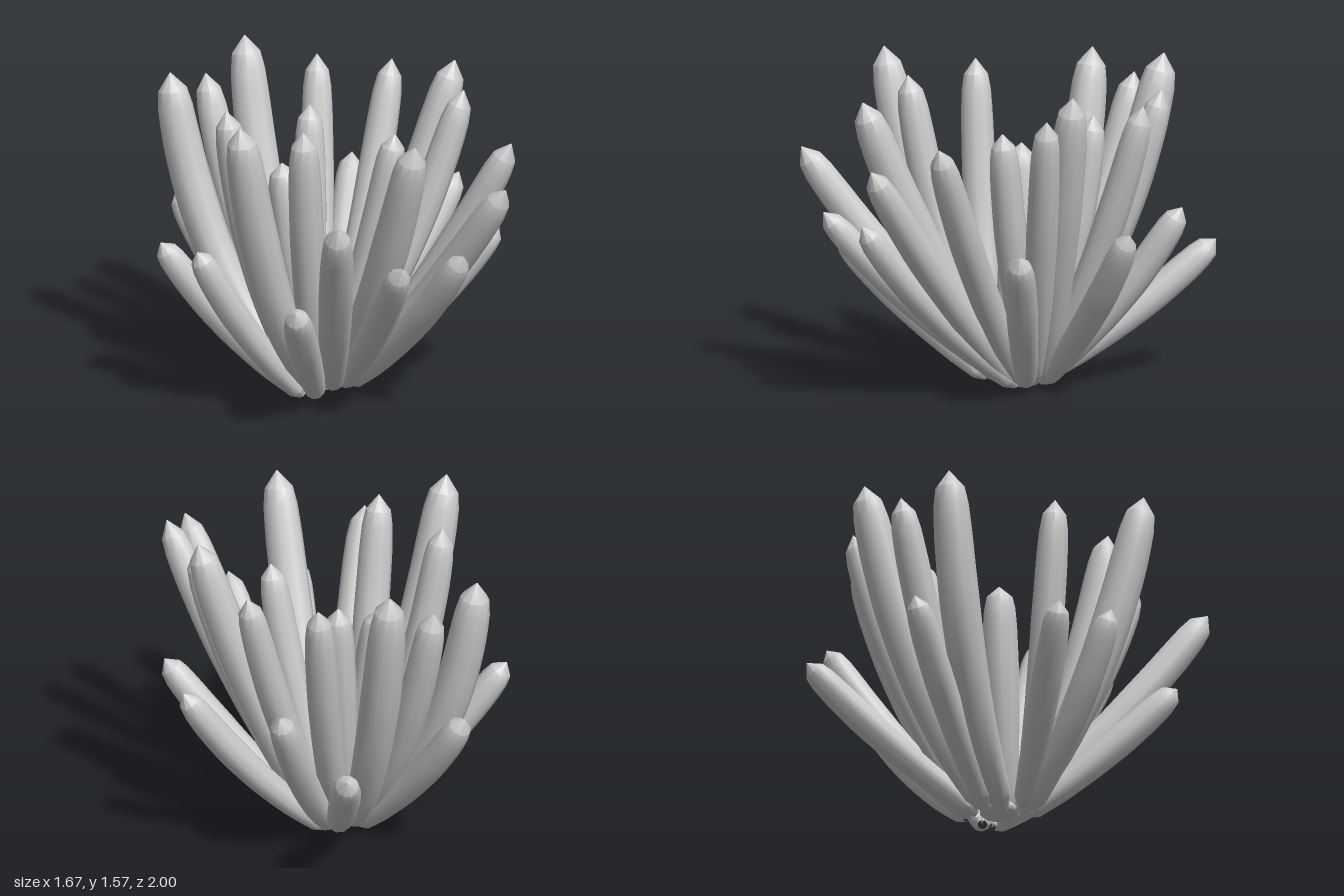
import * as THREE from 'three';
import { toCreasedNormals } from 'three/addons/utils/BufferGeometryUtils.js';

const SEGMENTS = 20, SIDES = 10;

// Fleshy leaf thickness along its length, as a fraction of its radius
const PROFILE = [[0, 0.3], [0.05, 0.66], [0.2, 0.82], [0.4, 0.93], [0.62, 1], [0.82, 0.95], [0.9, 0.87], [0.95, 0.72], [1, 0.02]];

function thickness(t) {
  const i = Math.max(1, PROFILE.findIndex(p => p[0] >= t - 1e-6));
  const [t0, r0] = PROFILE[i - 1], [t1, r1] = PROFILE[i];
  return THREE.MathUtils.lerp(r0, r1, (t - t0) / (t1 - t0));
}

// Tapered tube that leans outward, then bends upward to a pointed tip
function leafGeometry(x, y, z, radius, bend, baseX, baseZ) {
  const base = new THREE.Vector3(baseX, 0.03, baseZ);
  const tip = new THREE.Vector3(x, y, z);
  const control = base.clone().lerp(tip, 0.5);
  control.x += (tip.x - base.x) * bend;
  control.z += (tip.z - base.z) * bend;
  control.y -= (tip.y - base.y) * bend;
  const curve = new THREE.QuadraticBezierCurve3(base, control, tip);
  const geometry = new THREE.TubeGeometry(curve, SEGMENTS, radius, SIDES);
  const position = geometry.attributes.position;
  const v = new THREE.Vector3();
  for (let i = 0; i <= SEGMENTS; i++) {
    const center = curve.getPointAt(i / SEGMENTS);
    const scale = thickness(i / SEGMENTS);
    for (let j = 0; j <= SIDES; j++) {
      const k = i * (SIDES + 1) + j;
      v.fromBufferAttribute(position, k).sub(center).multiplyScalar(scale).add(center);
      position.setXYZ(k, v.x, Math.max(0, v.y), v.z);
    }
  }
  return toCreasedNormals(geometry, 0.68);
}

// Each leaf: tip x, y, z, radius, bend, base x, base z
const OUTER_LEAVES = [
  [0.02, 0.68, -1.0, 0.077, 0.06, 0, -0.12],
  [-0.57, 0.84, -0.68, 0.077, 0.08, -0.1, -0.12],
  [0.33, 0.92, -0.77, 0.077, 0.08, 0.04, -0.13],
  [0.77, 0.9, -0.42, 0.074, 0.08, 0.06, -0.15],
  [0.82, 0.82, 0.13, 0.077, 0.06, 0.11, -0.05],
  [0.46, 0.93, 0.83, 0.074, 0.08, 0.11, 0],
  [0.12, 0.93, 0.95, 0.074, 0.06, 0.08, 0],
  [-0.36, 0.69, 0.77, 0.077, 0.04, -0.08, 0.1],
  [-0.72, 0.87, 0.28, 0.074, 0.08, -0.15, 0.1],
  [-0.82, 0.82, -0.03, 0.077, 0.07, -0.15, 0.05],
];
const INNER_LEAVES = [
  [-0.2, 1.56, -0.79, 0.1, 0.18, -0.07, -0.1],
  [-0.42, 1.42, -0.69, 0.085, 0.15, -0.09, -0.1],
  [-0.64, 1.5, -0.53, 0.098, 0.27, -0.08, -0.02],
  [0.14, 1.46, -0.71, 0.08, 0.12, 0, -0.13],
  [0.47, 1.46, -0.55, 0.08, 0.1, 0.04, -0.13],
  [0.68, 1.57, -0.16, 0.092, 0.08, 0.07, -0.14],
  [0.69, 1.46, -0.03, 0.08, 0.1, 0.08, -0.09],
  [0.31, 1.32, 0.11, 0.08, 0.14, 0, -0.1],
  [0.78, 1.37, 0.52, 0.08, 0.07, 0.1, -0.03],
  [0.67, 1.25, 0.83, 0.08, 0.05, 0.1, 0],
  [0.23, 1.49, 0.78, 0.095, 0.1, 0.05, 0],
  [-0.21, 1.18, 0.99, 0.086, 0.06, 0.02, 0.03],
  [-0.24, 1.5, 0.46, 0.085, 0.16, -0.06, 0.06],
  [-0.57, 1.57, 0.51, 0.098, 0.17, -0.08, 0.06],
  [-0.52, 1.5, 0.07, 0.083, 0.18, -0.1, 0.08],
  [-0.2, 1.15, -0.09, 0.09, 0.12, -0.02, 0.02],
  [0.02, 1.32, -0.4, 0.08, 0.14, -0.04, -0.12],
];

export function createModel() {
  const model = new THREE.Group();
  model.name = 'succulentCluster';
  const grey = new THREE.MeshStandardMaterial({ color: 0xcccccc });
  grey.name = 'lightGrey';

  function addLeaves(name, leaves) {
    const group = new THREE.Group();
    group.name = name;
    leaves.forEach((leaf, i) => {
      const mesh = new THREE.Mesh(leafGeometry(...leaf), grey);
      mesh.name = `leaf${i + 1}`;
      group.add(mesh);
    });
    model.add(group);
  }
  addLeaves('outerLeaves', OUTER_LEAVES);
  addLeaves('innerLeaves', INNER_LEAVES);

  // Small knotted root joining the leaves
  const root = new THREE.Mesh(new THREE.IcosahedronGeometry(1, 1), grey);
  root.name = 'root';
  root.scale.set(0.1, 0.04, 0.1);
  root.position.set(-0.03, 0.045, -0.02);
  model.add(root);
  return model;
}
